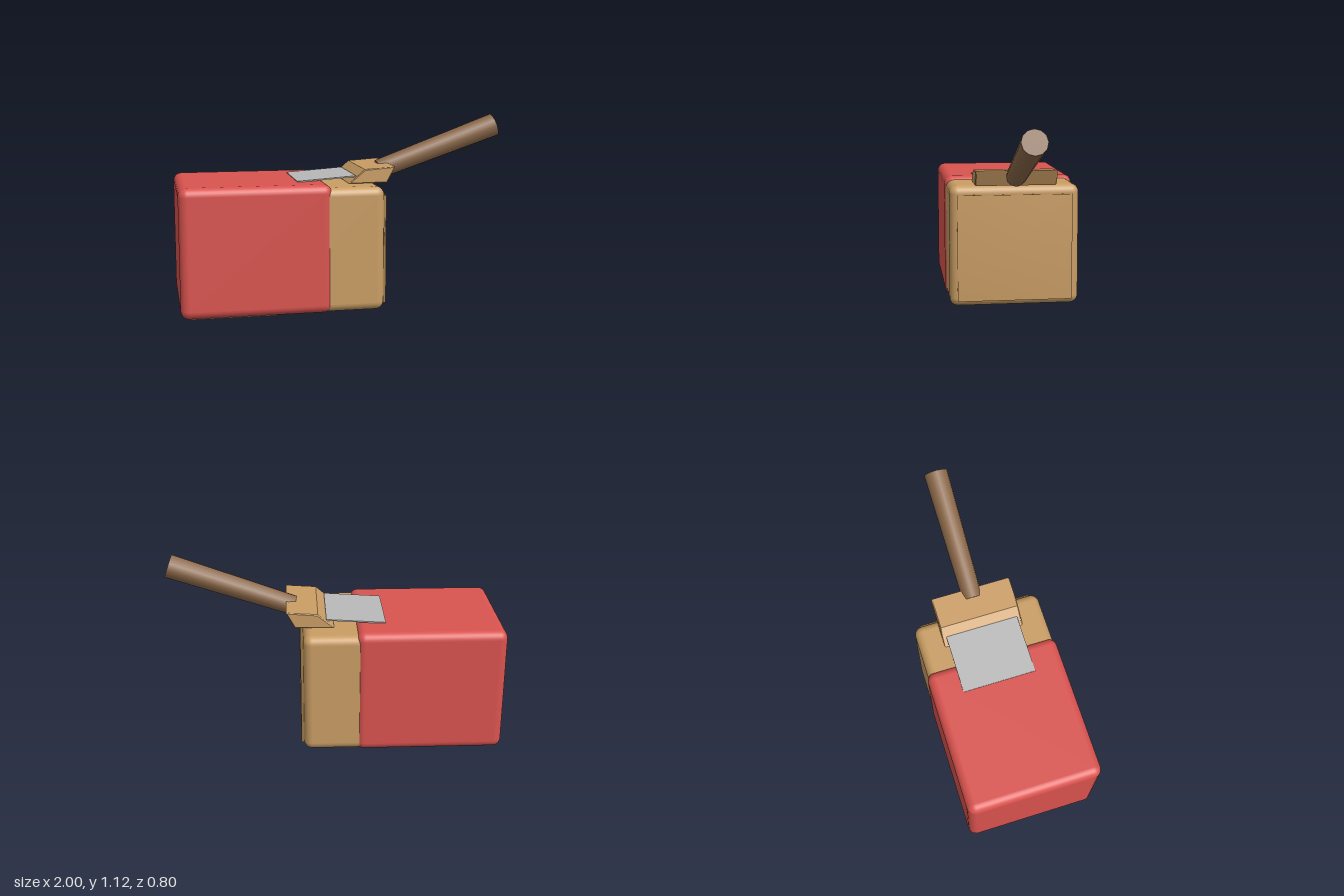
import * as THREE from 'three';
import { mergeVertices } from 'three/addons/utils/BufferGeometryUtils.js';
import { RoundedBoxGeometry } from 'three/addons/geometries/RoundedBoxGeometry.js';

const flat = (name, color) => {
  const m = new THREE.MeshStandardMaterial({ color });
  m.name = name;
  return m;
};

// Share the corners of a box so its shading runs softly across the edges
function softBox(w, h, d) {
  const g = new THREE.BoxGeometry(w, h, d);
  g.deleteAttribute('normal');
  g.deleteAttribute('uv');
  const merged = mergeVertices(g);
  merged.computeVertexNormals();
  return merged;
}

// Extrude an outline of [x, y] points along z, centred on z = 0
function slab(points, depth, bevel) {
  const shape = new THREE.Shape(points.map(([x, y]) => new THREE.Vector2(x, y)));
  const g = new THREE.ExtrudeGeometry(shape, {
    depth: depth - 2 * bevel, bevelEnabled: bevel > 0,
    bevelSize: bevel, bevelThickness: bevel, bevelOffset: -bevel, bevelSegments: 1,
  });
  return g.translate(0, 0, -depth / 2 + bevel);
}

export function createModel() {
  const model = new THREE.Group();
  const red = flat('red', 0xd9534f);
  const tan = flat('tan wood', 0xc99d64);
  const brown = flat('brown wood', 0x8b6849);
  const silver = flat('silver', 0xb8b8b8);

  const add = (name, geometry, material, x = 0, y = 0, z = 0) => {
    const mesh = new THREE.Mesh(geometry, material);
    mesh.name = name;
    mesh.position.set(x, y, z);
    model.add(mesh);
    return mesh;
  };

  // Red cover and the wooden block that emerges from it
  add('cover', new RoundedBoxGeometry(0.875, 0.753, 0.8, 4, 0.05), red, -0.5625, 0.3795, 0);
  add('woodBlock', new RoundedBoxGeometry(0.685, 0.731, 0.78, 4, 0.05), tan, -0.1575, 0.3705, 0);

  // Raised panel on the end of the block
  add('endPanel', softBox(0.03, 0.64, 0.69), tan, 0.185, 0.36, 0);

  // Corner of wood showing on the underside of the cover
  const corner = new THREE.Shape([
    new THREE.Vector2(-0.95, 0.36), new THREE.Vector2(-0.95, -0.04), new THREE.Vector2(-0.45, 0.36),
  ]);
  add('undersideCorner', new THREE.ExtrudeGeometry(corner, { depth: 0.004, bevelEnabled: false }),
    tan, 0, 0.004, 0).rotation.x = Math.PI / 2;

  // Slanted block that carries the handle
  add('handleMount', slab([[0, 0.74], [0.23, 0.74], [0.28, 0.835], [0.095, 0.822]], 0.485, 0.006), tan);

  // Thin metal tongue, sloping slightly up toward the mount
  add('metalTongue', slab([[-0.305, 0.752], [0.045, 0.776], [0.045, 0.784], [-0.305, 0.76]], 0.44, 0), silver);

  // Tapered handle
  const start = new THREE.Vector3(0.235, 0.792, 0);
  const end = new THREE.Vector3(0.972, 1.053, 0);
  const along = end.clone().sub(start);
  const handle = add('handle', new THREE.CylinderGeometry(0.072, 0.06, along.length(), 12), brown);
  handle.position.copy(start).add(end).multiplyScalar(0.5);
  handle.quaternion.setFromUnitVectors(new THREE.Vector3(0, 1, 0), along.normalize());

  return model;
}
